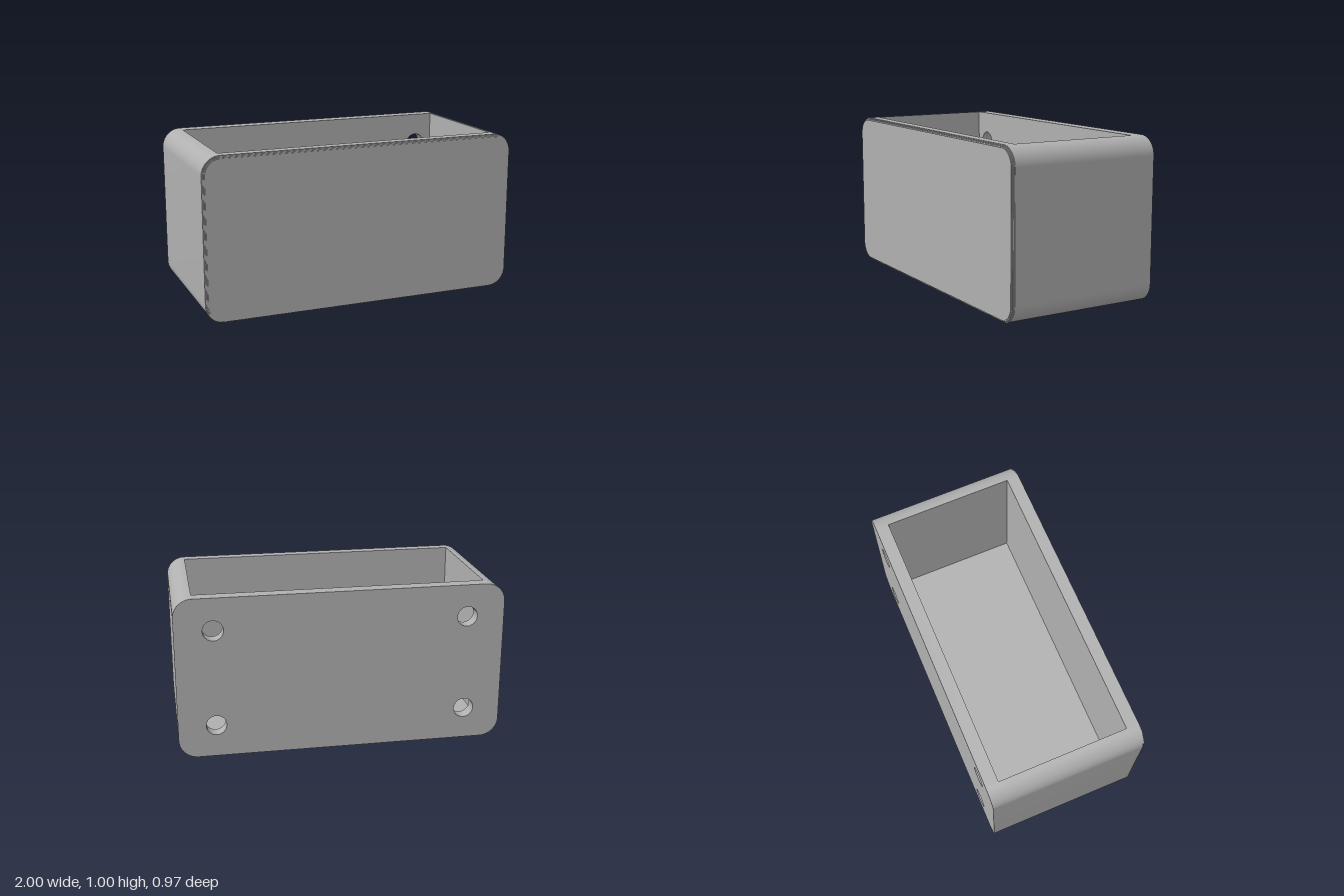
import * as THREE from 'three';
import { toCreasedNormals } from 'three/addons/utils/BufferGeometryUtils.js';

const RADIUS = 0.115;          // corner radius of the casing
const BACK = -0.485;           // outer back plane
const INNER = 0.403;           // half depth of the cavity
const INNER_X = 0.885;         // half width of the cavity
const FLOOR = 0.1;             // floor thickness

// Rounded rectangle, shrunk by an inset
function roundedRect(inset = 0) {
  const w = 1 - inset, b = inset, t = 1 - inset, r = RADIUS - inset;
  const s = new THREE.Shape();
  s.moveTo(-w + r, b);
  s.lineTo(w - r, b);
  s.absarc(w - r, b + r, r, -Math.PI / 2, 0);
  s.lineTo(w, t - r);
  s.absarc(w - r, t - r, r, 0, Math.PI / 2);
  s.lineTo(-w + r, t);
  s.absarc(-w + r, t - r, r, Math.PI / 2, Math.PI);
  s.lineTo(-w, b + r);
  s.absarc(-w + r, b + r, r, Math.PI, Math.PI * 1.5);
  return s;
}

// Floor and side walls as one U-shaped section
function channelSection() {
  const r = RADIUS, s = new THREE.Shape();
  s.moveTo(-1 + r, 0);
  s.lineTo(1 - r, 0);
  s.absarc(1 - r, r, r, -Math.PI / 2, 0);
  s.lineTo(1, 1 - r);
  s.absarc(1 - r, 1 - r, r, 0, Math.PI / 2);
  s.lineTo(INNER_X, FLOOR);
  s.lineTo(-INNER_X, FLOOR);
  s.lineTo(-INNER_X, 1);
  s.absarc(-1 + r, 1 - r, r, Math.PI / 2, Math.PI);
  s.lineTo(-1, r);
  s.absarc(-1 + r, r, r, Math.PI, Math.PI * 1.5);
  return s;
}

export function createModel() {
  const group = new THREE.Group();
  group.name = 'openBox';
  const material = new THREE.MeshStandardMaterial({ color: 0xb0b0b0 });
  material.name = 'plainGrey';

  const addSlab = (name, shape, z0, z1) => {
    const geometry = new THREE.ExtrudeGeometry(shape, {
      depth: z1 - z0, bevelEnabled: false, curveSegments: 16,
    });
    geometry.translate(0, 0, z0);
    const mesh = new THREE.Mesh(toCreasedNormals(geometry, 0.5), material);
    mesh.name = name;
    group.add(mesh);
  };

  // Back wall with four mounting holes
  const back = roundedRect();
  for (const x of [-0.77, 0.77]) {
    for (const y of [0.2, 0.8]) {
      const hole = new THREE.Path();
      hole.absarc(x, y, 0.062, 0, Math.PI * 2, true);
      back.holes.push(hole);
    }
  }
  addSlab('backWall', back, BACK, -INNER);

  // Floor and sides, open at the top
  addSlab('floorAndSides', channelSection(), -INNER, INNER);

  // Solid front wall, its edge eased in fine steps
  addSlab('frontWall', roundedRect(), INNER, 0.468);
  const steps = [[0.468, 0.474, 0.004], [0.474, 0.48, 0.008], [0.48, 0.485, 0.015]];
  steps.forEach(([z0, z1, inset], i) => addSlab(`frontEdgeStep${i + 1}`, roundedRect(inset), z0, z1));

  return group;
}
